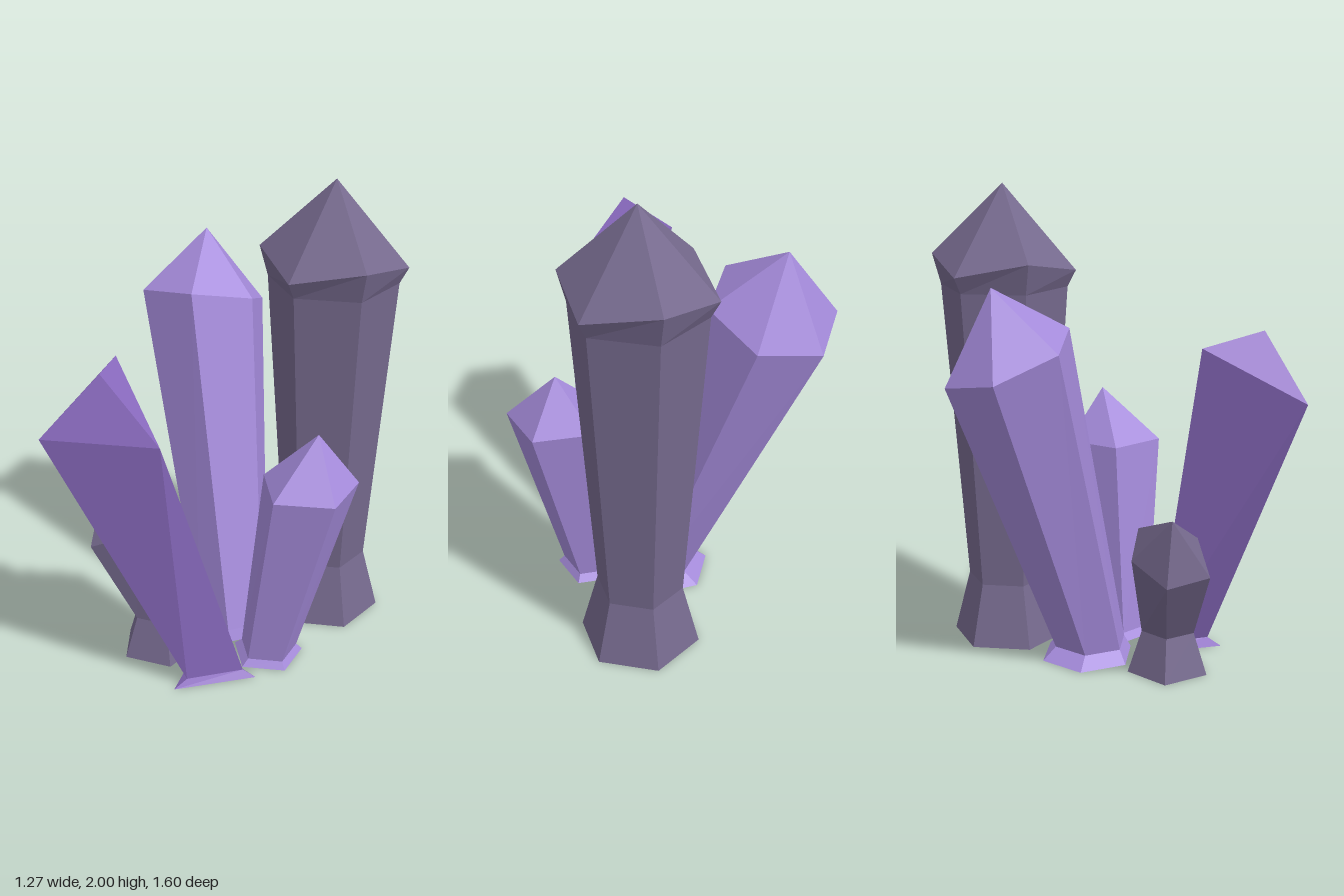
import * as THREE from 'three';

// Regular horizontal ring; a number array for y alternates the corner heights
function ring(x, y, z, r, sides, phase) {
  return Array.from({ length: sides }, (_, i) => {
    const a = THREE.MathUtils.degToRad(phase) + (i * 2 * Math.PI) / sides;
    const h = Array.isArray(y) ? y[i % y.length] : y;
    return [x + r * Math.cos(a), h, z + r * Math.sin(a)];
  });
}

// Faceted crystal: rings from the ground upward, a tip on top and a closed base
function crystal(name, color, rings, tip) {
  const pos = [];
  const tri = (...corners) => corners.forEach((c) => pos.push(...c));
  const n = rings[0].length;
  const base = [0, 1, 2].map((k) => rings[0].reduce((s, p) => s + p[k], 0) / n);
  for (let i = 0; i < n; i++) {
    const j = (i + 1) % n;
    tri(base, rings[0][i], rings[0][j]);
    for (let k = 0; k + 1 < rings.length; k++) {
      const a = rings[k], b = rings[k + 1];
      tri(a[i], b[i], a[j]);
      tri(a[j], b[i], b[j]);
    }
    const rim = rings[rings.length - 1];
    tri(rim[i], tip, rim[j]);
  }
  const geometry = new THREE.BufferGeometry();
  geometry.setAttribute('position', new THREE.Float32BufferAttribute(pos, 3));
  geometry.computeVertexNormals();
  const mesh = new THREE.Mesh(geometry, new THREE.MeshStandardMaterial({ color, flatShading: true }));
  mesh.name = name;
  return mesh;
}

export function createModel() {
  const group = new THREE.Group();
  group.name = 'crystalCluster';
  const dark = 0x766a8e, lilac = 0xa58bdb, violet = 0x8c6cc2;

  // Tall dark pillar with flared foot and overhanging cap
  group.add(crystal('tallDarkCrystal', dark, [
    ring(0.22, 0, -0.49, 0.25, 6, 30),
    ring(0.22, 0.27, -0.49, 0.18, 6, 30),
    ring(0.22, 1.57, -0.49, 0.272, 6, 30),
    ring(0.22, [1.7, 1.64], -0.49, 0.308, 6, 30),
  ], [0.22, 2, -0.49]));

  // Large leaning lilac crystal
  group.add(crystal('largeLilacCrystal', lilac, [
    ring(0, 0, -0.11, 0.205, 6, 0),
    ring(0.02, 0.05, -0.1, 0.16, 6, 0),
    [[-0.1, 1.44, -0.36], [-0.25, 1.49, -0.14], [-0.52, 1.44, -0.14],
      [-0.64, 1.34, -0.37], [-0.49, 1.29, -0.59], [-0.22, 1.34, -0.585]],
  ], [-0.4, 1.67, -0.42]));

  // Small five-sided lilac crystal
  group.add(crystal('smallLilacCrystal', lilac, [
    ring(0.285, 0, 0, 0.155, 5, 23),
    ring(0.29, 0.03, 0, 0.125, 5, 23),
    [[0.63, 0.86, 0.025], [0.42, 0.86, 0.155], [0.24, 0.86, -0.015],
      [0.335, 0.86, -0.235], [0.58, 0.86, -0.21]],
  ], [0.45, 1.08, -0.1]));

  // Three-sided violet crystal leaning forward
  group.add(crystal('frontVioletCrystal', violet, [
    [[0.36, 0, 0.175], [0.15, 0, 0.46], [0.02, 0, 0.13]],
    [[0.31, 0.03, 0.2], [0.17, 0.03, 0.4], [0.07, 0.03, 0.18]],
    [[0.185, 1.2, 0.56], [-0.22, 1.2, 0.8], [-0.2, 1.41, 0.38]],
  ], [-0.06, 1.46, 0.62]));

  // Short dark crystal with a narrow neck
  group.add(crystal('shortDarkCrystal', dark, [
    ring(-0.11, 0, 0.25, 0.175, 5, 35),
    ring(-0.11, 0.18, 0.25, 0.115, 5, 35),
    [[-0.14, 0.6, 0.37], [-0.33, 0.5, 0.435], [-0.43, 0.48, 0.27],
      [-0.31, 0.55, 0.115], [-0.19, 0.65, 0.13]],
  ], [-0.38, 0.75, 0.285]));

  return group;
}
